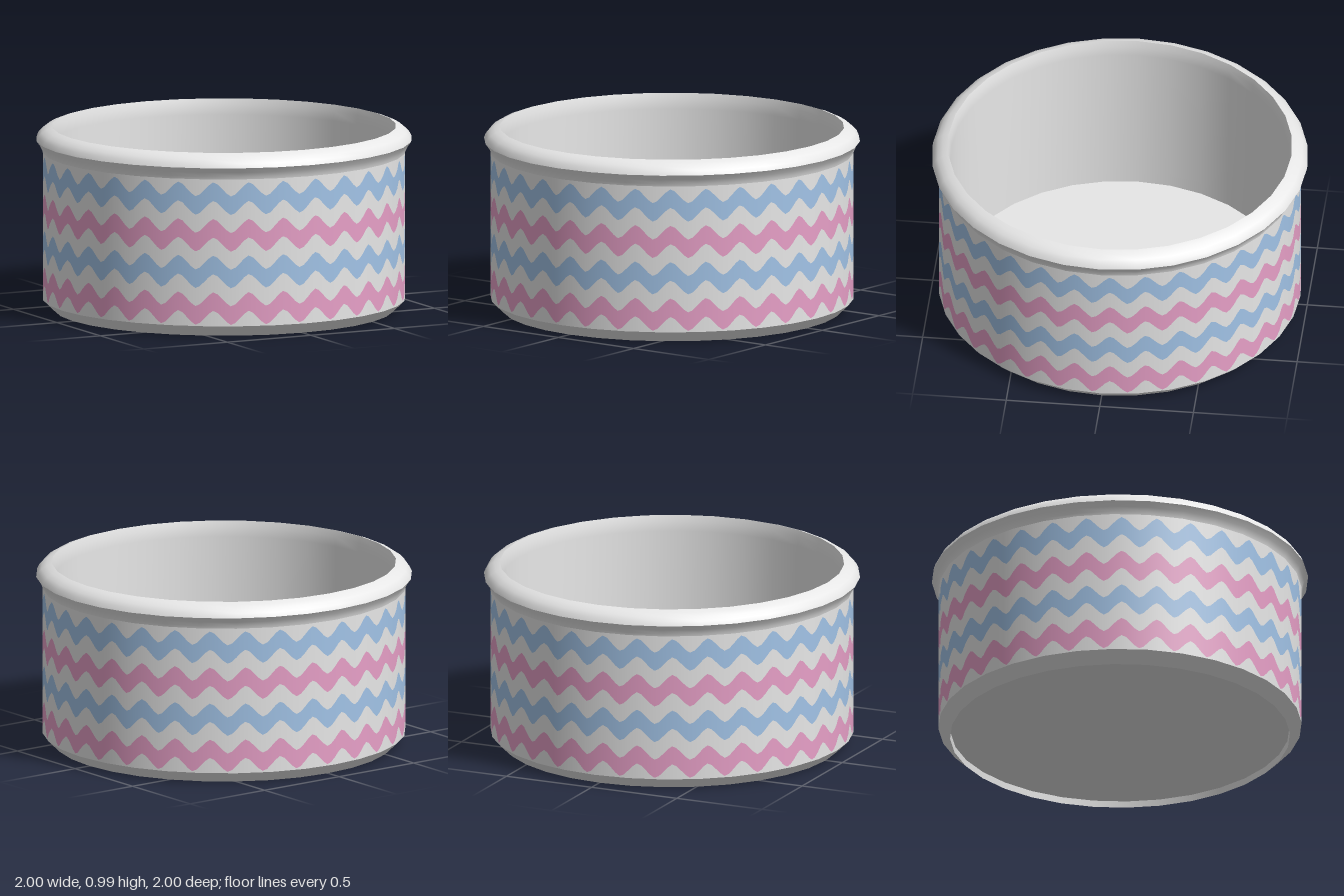
import * as THREE from 'three';

const SIDES = 32;      // facets around the dish
const WAVES = 32;      // zigzags around the wall
const STEPS = 8;       // samples per facet
const WALL_R = 0.965;
const WALL_BOTTOM = 0.06;
const WALL_TOP = 0.85;

const white = new THREE.MeshStandardMaterial({ color: 0xf0f0f0 });
white.name = 'glazed white';
const pink = new THREE.MeshStandardMaterial({ color: 0xf0a6cf });
pink.name = 'stripe pink';
const blue = new THREE.MeshStandardMaterial({ color: 0xa8cbf0 });
blue.name = 'stripe blue';

// Rounded zigzag, -1 to 1, running round the dish
function wave(phi) {
  const a = WAVES * (phi - THREE.MathUtils.degToRad(3));
  return Math.cos(a) + 0.05 * Math.cos(3 * a);
}

// A strip of the faceted wall between two height curves
function wallStrip(lower, upper) {
  const n = SIDES * STEPS;
  const pos = [], nor = [], idx = [];
  for (let i = 0; i <= n; i++) {
    const phi = (i / n) * Math.PI * 2;
    const half = Math.PI / SIDES;
    const local = ((i % STEPS) / STEPS) * 2 * half - half;
    const r = (WALL_R * Math.cos(half)) / Math.cos(local);
    const s = Math.sin(phi), c = Math.cos(phi);
    pos.push(r * s, lower(phi), r * c, r * s, upper(phi), r * c);
    nor.push(s, 0, c, s, 0, c);
    if (i < n) {
      const a = i * 2;
      idx.push(a, a + 2, a + 3, a, a + 3, a + 1);
    }
  }
  const g = new THREE.BufferGeometry();
  g.setAttribute('position', new THREE.Float32BufferAttribute(pos, 3));
  g.setAttribute('normal', new THREE.Float32BufferAttribute(nor, 3));
  g.setIndex(idx);
  return g;
}

function add(group, name, geometry, material) {
  const mesh = new THREE.Mesh(geometry, material);
  mesh.name = name;
  group.add(mesh);
  return mesh;
}

export function createModel() {
  const model = new THREE.Group();
  model.name = 'ramekin';

  // Turned parts; separate profiles keep the creases between them sharp
  const turned = {
    underside: [[0, 0.035], [0.9, 0.035]],
    footRecess: [[0.9, 0.035], [0.903, 0]],
    footChamfer: [[0.903, 0], [WALL_R, WALL_BOTTOM]],
    rimFlare: [[WALL_R, WALL_TOP], [0.969, 0.865], [0.98, 0.888], [1, 0.915]],
    rimTop: [[1, 0.915], [0.99, 0.938], [0.972, 0.958], [0.945, 0.975], [0.915, 0.985]],
    innerWall: [[0.915, 0.985], [0.907, 0.95], [0.902, 0.9], [0.896, 0.06]],
    floor: [[0.896, 0.06], [0, 0.06]],
  };
  for (const [name, pts] of Object.entries(turned)) {
    const profile = pts.map(([r, y]) => new THREE.Vector2(r, y));
    add(model, name, new THREE.LatheGeometry(profile, SIDES), white);
  }

  // Outer wall: zigzag stripes alternating with white, from bottom to top
  const wall = new THREE.Group();
  wall.name = 'outerWall';
  model.add(wall);
  let below = () => WALL_BOTTOM;
  for (let i = 0; i < 4; i++) {
    const mid = 0.155 + 0.197 * i;
    const low = (phi) => mid - 0.05 + 0.036 * wave(phi);
    const high = (phi) => mid + 0.05 + 0.036 * wave(phi);
    add(wall, 'whiteBand', wallStrip(below, low), white);
    add(wall, 'zigzagStripe', wallStrip(low, high), i % 2 ? blue : pink);
    below = high;
  }
  add(wall, 'whiteBand', wallStrip(below, () => WALL_TOP), white);

  return model;
}
